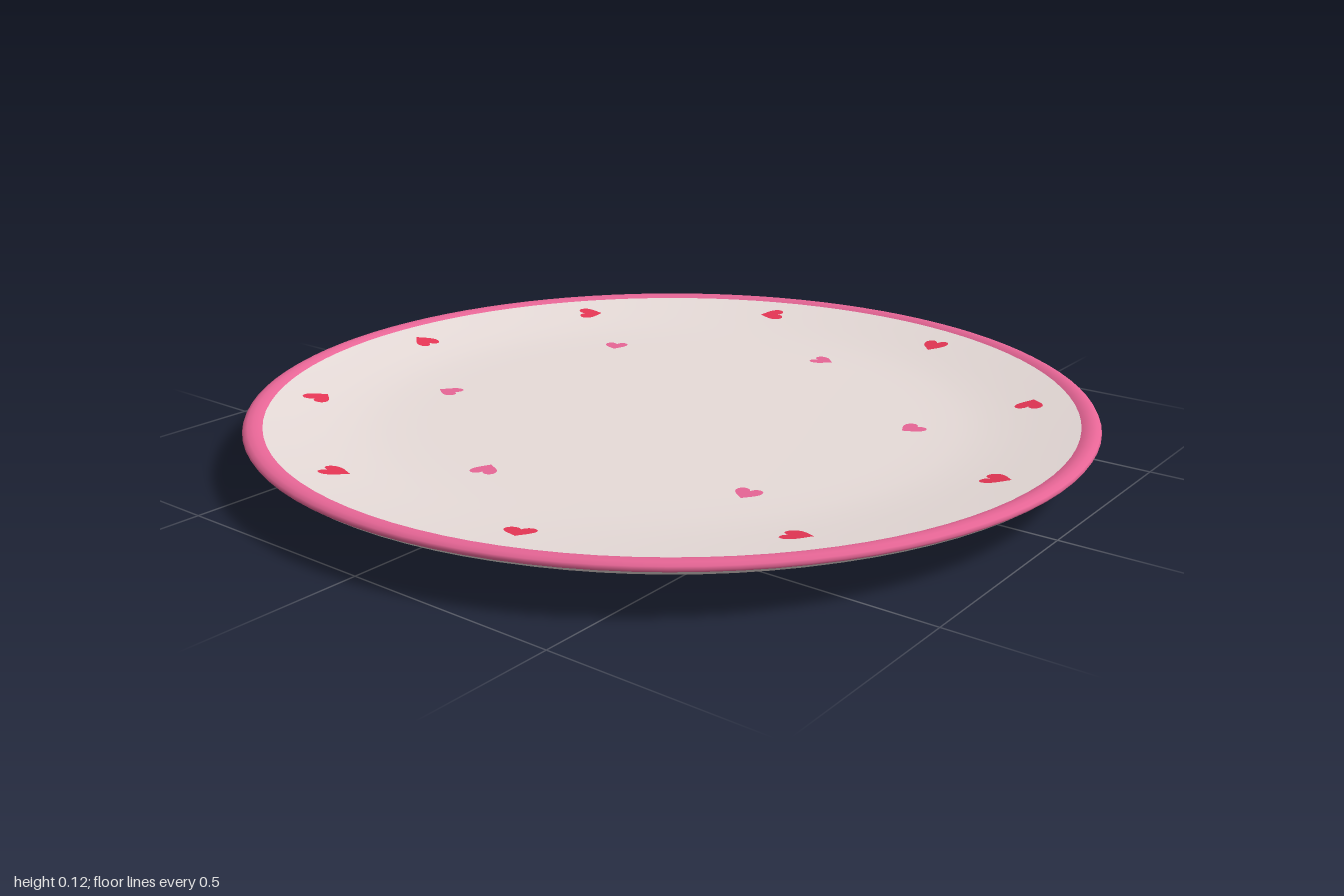
import * as THREE from 'three';

const material = (name, color) => new THREE.MeshStandardMaterial({ name, color });

// Inner surface of the plate, from centre to rim: [radius, height]
const INNER = [[0, 0.075], [0.58, 0.075], [0.68, 0.077], [0.75, 0.082], [0.82, 0.091], [0.89, 0.102], [0.955, 0.113]];

function surfaceHeight(r) {
  for (let i = 1; i < INNER.length; i++) {
    const [r0, y0] = INNER[i - 1], [r1, y1] = INNER[i];
    if (r <= r1) return y0 + (y1 - y0) * (r - r0) / (r1 - r0);
  }
  return INNER[INNER.length - 1][1];
}

// Profiles run from the bottom centre outward, then back in over the top
function lathe(name, points, mat) {
  const geometry = new THREE.LatheGeometry(points.map(([r, y]) => new THREE.Vector2(r, y)), 96);
  const mesh = new THREE.Mesh(geometry, mat);
  mesh.name = name;
  return mesh;
}

// Heart outline about one unit wide, with its point towards -y
function heartShape() {
  const s = new THREE.Shape();
  s.moveTo(0, -0.5);
  s.bezierCurveTo(0.15, -0.3, 0.5, -0.1, 0.5, 0.2);
  s.bezierCurveTo(0.5, 0.52, 0.1, 0.58, 0, 0.25);
  s.bezierCurveTo(-0.1, 0.58, -0.5, 0.52, -0.5, 0.2);
  s.bezierCurveTo(-0.5, -0.1, -0.15, -0.3, 0, -0.5);
  return s;
}

// A painted heart whose vertices follow the plate surface; angles in degrees
function heart(name, radius, angle, pointing, size, mat) {
  const a = THREE.MathUtils.degToRad(angle);
  const geometry = new THREE.ShapeGeometry(heartShape(), 8);
  geometry.scale(size, size, 1);
  geometry.rotateZ(THREE.MathUtils.degToRad(pointing + 90));
  geometry.rotateX(-Math.PI / 2);
  geometry.translate(radius * Math.cos(a), 0, -radius * Math.sin(a));
  const p = geometry.attributes.position;
  for (let i = 0; i < p.count; i++) {
    p.setY(i, surfaceHeight(Math.hypot(p.getX(i), p.getZ(i))) + 0.004);
  }
  geometry.computeVertexNormals();
  const mesh = new THREE.Mesh(geometry, mat);
  mesh.name = name;
  return mesh;
}

export function createModel() {
  const group = new THREE.Group();
  group.name = 'plate';
  const ceramic = material('ceramic', 0xf3e7e4);
  const pink = material('pink glaze', 0xff71a6);
  const red = material('red glaze', 0xe63655);

  // Underside with a foot ring around a shallow recess
  group.add(lathe('underside', [
    [0, 0.016], [0.34, 0.016], [0.4, 0.011], [0.455, 0.001], [0.48, 0], [0.555, 0],
    [0.575, 0.006], [0.605, 0.02], [0.77, 0.031], [0.84, 0.043], [0.9, 0.058],
    [0.95, 0.077], [0.985, 0.094], [0.997, 0.103],
  ], ceramic));

  // Eating surface
  group.add(lathe('dish', [...INNER].reverse(), ceramic));

  // Rounded coloured rim
  group.add(lathe('rim', [
    [0.997, 0.103], [1, 0.108], [0.997, 0.114], [0.988, 0.119], [0.975, 0.12], [0.963, 0.117], [0.955, 0.113],
  ], pink));

  // Ten red hearts around the rim, turned in varied directions
  [0, 100, 270, 210, 45, 180, 100, 25, 300, 15].forEach((pointing, i) => {
    group.add(heart('rimHeart', 0.857, i * 36, pointing, 0.066, red));
  });

  // Six pink hearts on the floor of the dish
  [250, 0, 300, 190, 110, 280].forEach((pointing, i) => {
    group.add(heart('floorHeart', 0.575, 23.5 + i * 60, pointing, 0.06, pink));
  });

  return group;
}
